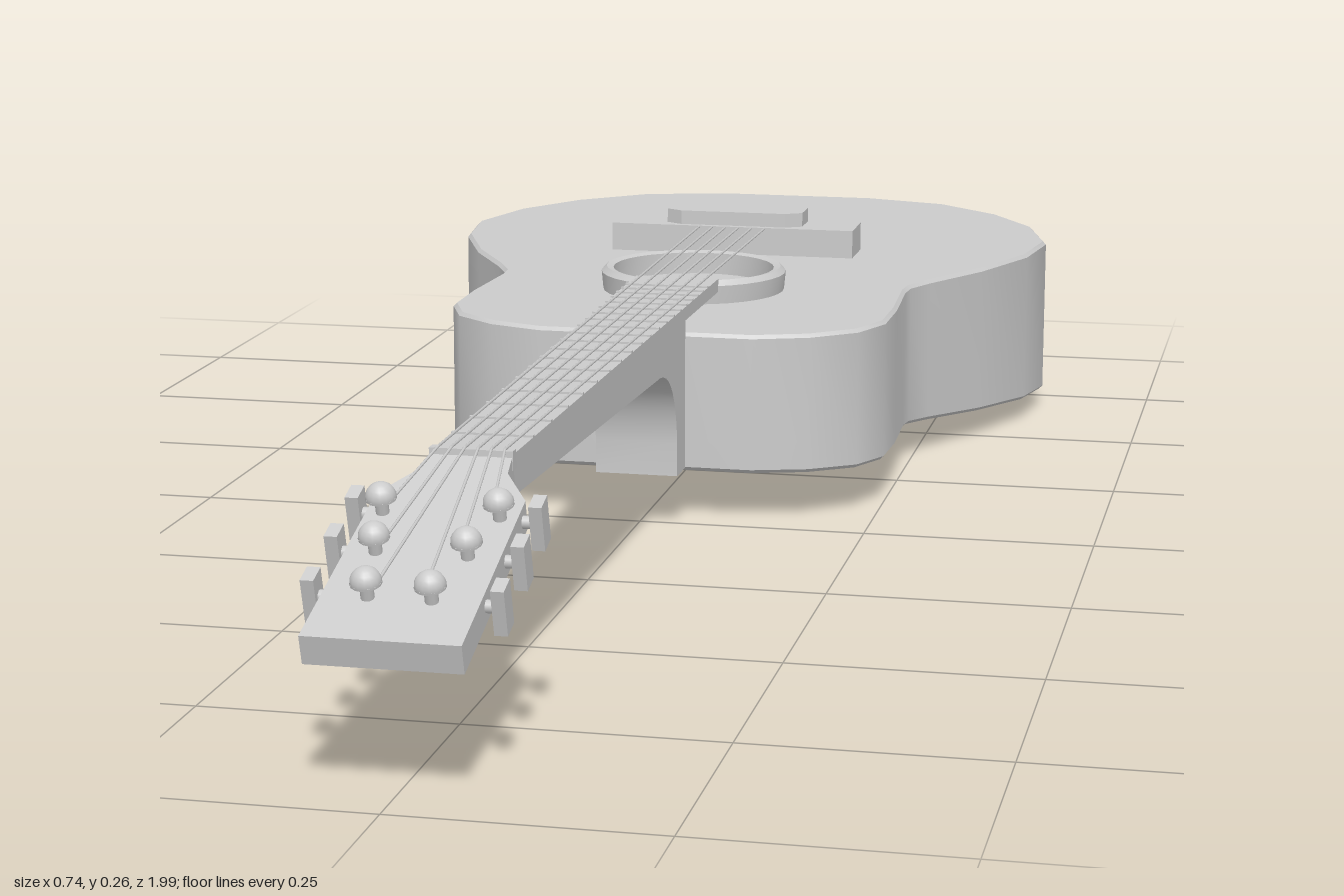
import * as THREE from 'three';
import { toCreasedNormals } from 'three/addons/utils/BufferGeometryUtils.js';

const material = new THREE.MeshStandardMaterial({ color: 0xcccccc, side: THREE.DoubleSide });

function add(parent, name, geometry, x = 0, y = 0, z = 0) {
  const mesh = new THREE.Mesh(geometry, material);
  mesh.name = name;
  mesh.position.set(x, y, z);
  parent.add(mesh);
  return mesh;
}

// Mirrors half an outline of [x, z] points and extrudes it upwards from y = 0
function slab(half, height, bevel = 0) {
  const right = half.map(([x, z]) => new THREE.Vector2(x, -z));
  const left = half.map(([x, z]) => new THREE.Vector2(-x, -z)).reverse();
  const geometry = new THREE.ExtrudeGeometry(new THREE.Shape([...right, ...left]), {
    depth: height - 2 * bevel, bevelEnabled: bevel > 0,
    bevelSize: bevel, bevelThickness: bevel, bevelOffset: -bevel, bevelSegments: 1,
  });
  return geometry.rotateX(-Math.PI / 2).translate(0, bevel, 0);
}

// Thin cylinder between two points
function rod(parent, name, a, b, radius) {
  const mesh = add(parent, name, new THREE.CylinderGeometry(radius, radius, a.distanceTo(b), 6));
  mesh.position.copy(a).lerp(b, 0.5);
  mesh.quaternion.setFromUnitVectors(new THREE.Vector3(0, 1, 0), b.clone().sub(a).normalize());
}

const neckHalfWidth = z => THREE.MathUtils.mapLinear(z, -0.2, 0.7, 0.048, 0.038);

export function createModel() {
  const guitar = new THREE.Group();
  guitar.name = 'guitar';

  // Body: flat top, back that deepens towards the tail
  const top = 0.21;
  const outline = [
    [0.1, -1], [0.205, -0.97], [0.285, -0.9], [0.342, -0.81], [0.371, -0.7], [0.358, -0.6],
    [0.315, -0.49], [0.265, -0.4], [0.247, -0.36], [0.245, -0.33], [0.251, -0.22], [0.25, -0.14],
    [0.228, -0.085], [0.18, -0.045], [0.12, -0.023],
  ];
  const bodyGeometry = slab(outline, top, 0.004);
  const p = bodyGeometry.attributes.position;
  for (let i = 0; i < p.count; i++) {
    const z = p.getZ(i);
    const back = z > -0.35
      ? THREE.MathUtils.mapLinear(z, -0.35, -0.02, 0.043, 0.055)
      : THREE.MathUtils.mapLinear(z, -1, -0.35, 0, 0.043);
    if (p.getY(i) < 0.1) p.setY(i, p.getY(i) + back);
  }
  add(guitar, 'body', toCreasedNormals(bodyGeometry, 0.6));

  // Raised soundhole ring
  const ring = [[0.094, 0], [0.094, 0.025], [0.102, 0.027], [0.108, 0.021], [0.106, 0], [0.094, 0]];
  const ringGeometry = new THREE.LatheGeometry(ring.map(([x, y]) => new THREE.Vector2(x, y)), 32);
  add(guitar, 'soundholeRing', toCreasedNormals(ringGeometry, 0.6), 0, top, -0.292);

  // Bridge and saddle
  add(guitar, 'bridge', new THREE.BoxGeometry(0.302, 0.034, 0.066), 0, top + 0.017, -0.558);
  add(guitar, 'saddle', slab([[0.085, -0.588], [0.085, -0.545], [0.065, -0.533]], 0.018), 0, 0.243, 0);

  // Neck with a curved heel, drawn from the side as (z, y)
  const side = new THREE.Shape();
  side.moveTo(-0.022, 0.058);
  side.lineTo(0.018, 0.058);
  side.lineTo(0.018, 0.095);
  side.bezierCurveTo(0.022, 0.145, 0.05, 0.18, 0.1, 0.185);
  side.lineTo(0.69, 0.2);
  side.lineTo(0.73, 0.195);
  side.lineTo(0.7, 0.228);
  side.lineTo(-0.022, 0.228);
  const neck = new THREE.ExtrudeGeometry(side, { depth: 2, bevelEnabled: false, curveSegments: 10 });
  neck.rotateY(-Math.PI / 2).translate(1, 0, 0);
  const n = neck.attributes.position;
  for (let i = 0; i < n.count; i++) n.setX(i, n.getX(i) * neckHalfWidth(n.getZ(i)));
  add(guitar, 'neck', toCreasedNormals(neck, 0.5));

  // Fingerboard, overhanging the top of the body
  const board = [[neckHalfWidth(-0.2), -0.2], [neckHalfWidth(0.7), 0.7]];
  add(guitar, 'fingerboard', slab(board, 0.015), 0, 0.224, 0);
  add(guitar, 'nut', new THREE.BoxGeometry(0.078, 0.018, 0.012), 0, 0.234, 0.697);

  // Frets, closer together towards the body
  for (let i = 1; i <= 19; i++) {
    const z = -0.56 + 1.257 * Math.pow(2, -i / 12);
    if (z < -0.19) break;
    add(guitar, 'fret', new THREE.BoxGeometry(neckHalfWidth(z) * 2, 0.003, 0.005), 0, 0.2395, z);
  }

  // Headstock, tilted back from the nut
  const head = new THREE.Group();
  head.name = 'headstock';
  head.position.set(0, 0.238, 0.7);
  head.rotation.x = 0.3;
  guitar.add(head);
  const plate = [[0.038, 0], [0.041, 0.03], [0.068, 0.075], [0.07, 0.306]];
  add(head, 'headstockPlate', slab(plate, 0.028), 0, -0.028, 0);

  // Tuning pegs and strings, mirrored left and right
  const pegs = [[0.053, 0.107], [0.041, 0.172], [0.028, 0.243]];
  head.updateMatrix();
  for (const s of [-1, 1]) {
    pegs.forEach(([x, z], i) => {
      add(head, 'tuningPost', new THREE.CylinderGeometry(0.006, 0.006, 0.022, 10), s * x, 0.009, z);
      const cap = new THREE.SphereGeometry(0.014, 14, 6, 0, Math.PI * 2, 0, Math.PI / 2);
      add(head, 'postCap', cap, s * x, 0.016, z);
      add(head, 'capBase', new THREE.CylinderGeometry(0.014, 0.014, 0.002, 14), s * x, 0.0155, z);
      const shaft = new THREE.CylinderGeometry(0.006, 0.006, 0.024, 8).rotateZ(Math.PI / 2);
      add(head, 'tunerShaft', shaft, s * 0.073, -0.013, z - 0.018);
      add(head, 'tunerButton', new THREE.BoxGeometry(0.012, 0.044, 0.022), s * 0.083, -0.013, z - 0.018);

      const k = 1 - i * 0.4;
      const bridgeEnd = new THREE.Vector3(s * 0.041 * k, 0.243, -0.54);
      const nutEnd = new THREE.Vector3(s * 0.031 * k, 0.244, 0.7);
      const pegEnd = new THREE.Vector3(s * (x - 0.006), 0.01, z).applyMatrix4(head.matrix);
      rod(guitar, 'string', bridgeEnd, nutEnd, 0.0014);
      rod(guitar, 'stringEnd', nutEnd, pegEnd, 0.0014);
    });
  }
  return guitar;
}
